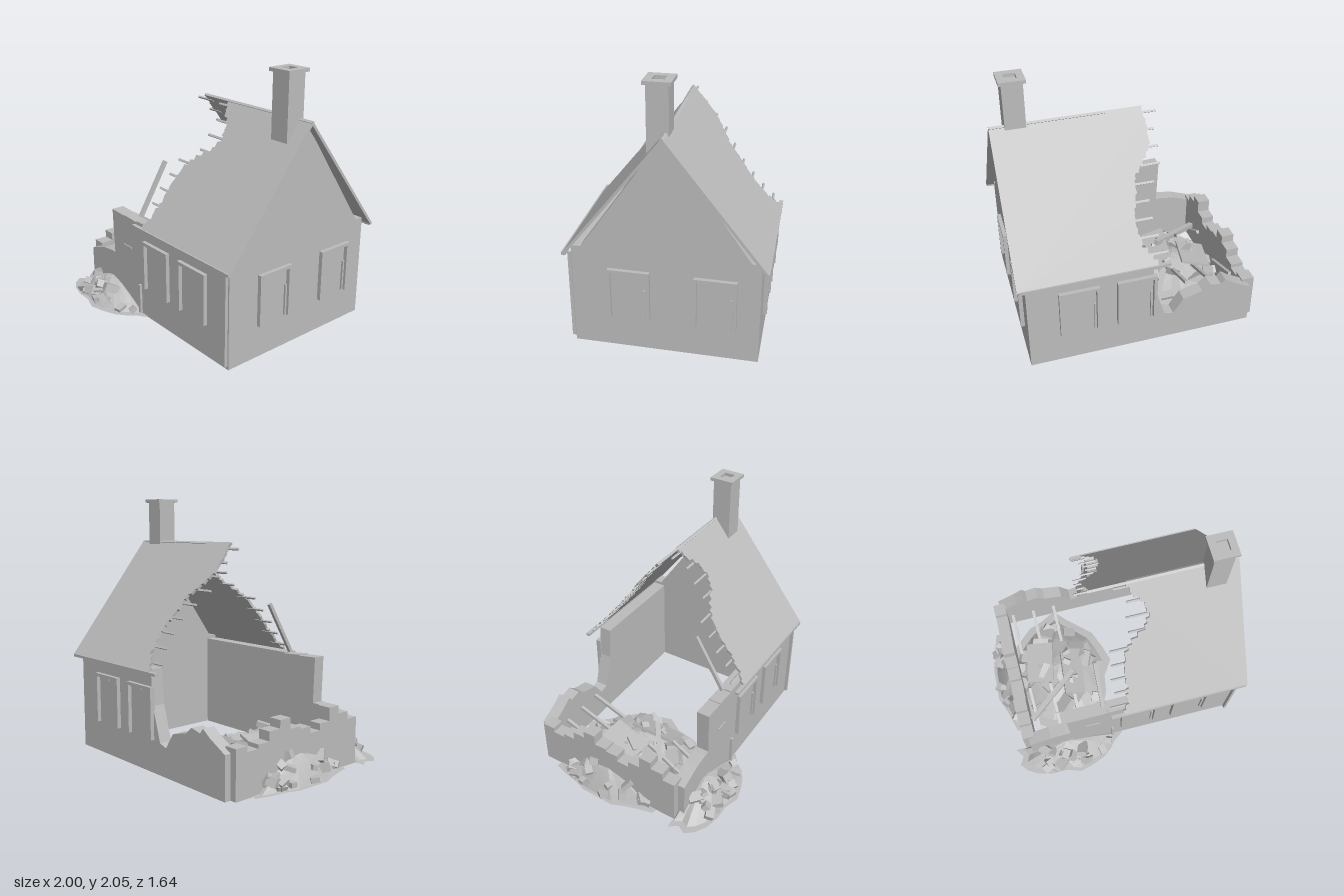
import * as THREE from 'three';

const stone = new THREE.MeshStandardMaterial({ color: 0xbcbcbc, side: THREE.DoubleSide, flatShading: true });
stone.name = 'grey plaster';

// Seeded random numbers
let seed = 11;
const rand = (a = 0, b = 1) => {
  seed = (seed * 16807) % 2147483647;
  return a + (b - a) * seed / 2147483647;
};

function add(parent, name, geometry) {
  const mesh = new THREE.Mesh(geometry, stone);
  mesh.name = name;
  parent.add(mesh);
  return mesh;
}

// Box given by its lower and upper corners
function block(parent, name, x0, x1, y0, y1, z0, z1) {
  const mesh = add(parent, name, new THREE.BoxGeometry(x1 - x0, y1 - y0, z1 - z0));
  mesh.position.set((x0 + x1) / 2, (y0 + y1) / 2, (z0 + z1) / 2);
  return mesh;
}

// Square timber between two points
function beam(parent, name, a, b, w) {
  const p = new THREE.Vector3(...a), q = new THREE.Vector3(...b);
  const mesh = add(parent, name, new THREE.BoxGeometry(w, w, p.distanceTo(q)));
  mesh.position.copy(p).add(q).multiplyScalar(0.5);
  mesh.lookAt(q);
  return mesh;
}

function slab(points, depth) {
  const shape = new THREE.Shape(points.map(p => new THREE.Vector2(...p)));
  return new THREE.ExtrudeGeometry(shape, { depth, bevelEnabled: false });
}

function lookup(table, t) {
  const i = Math.max(1, table.findIndex(p => p[0] >= t));
  const [a, b] = [table[i - 1], table[i]];
  return a[1] + (b[1] - a[1]) * (t - a[0]) / (b[0] - a[0]);
}

// Roof slope with a torn left edge and battens sticking out of it
function roofSlope(parent, name, side, edge, ends) {
  const run = 0.715, drop = 0.91, length = Math.hypot(run, drop), thick = 0.02;
  const points = [[0.99, 0]];
  const rows = 24;
  for (let i = 0; i <= rows; i++) {
    const x = lookup(edge, i / rows) + (i ? rand(-0.008, 0.008) : 0);
    points.push([x, length * i / rows]);
    if (i < rows) points.push([x + rand(-0.006, 0.012), length * (i + 0.85) / rows]);
  }
  points.push([0.99, length]);
  const down = new THREE.Vector3(0, -drop / length, side * run / length);
  const right = new THREE.Vector3(1, 0, 0);
  const normal = right.clone().cross(down);
  const slope = new THREE.Group();
  slope.name = name;
  slope.matrixAutoUpdate = true;
  slope.quaternion.setFromRotationMatrix(new THREE.Matrix4().makeBasis(right, down, normal));
  slope.position.set(0, 1.66, -0.105);
  parent.add(slope);
  const inner = side > 0 ? 0 : -thick;
  add(slope, 'tiles', slab(points, thick)).position.z = inner;
  ends.forEach((x, i) => {
    const t = 0.04 + i * 0.11, s = t * length, z = side * 0.019;
    block(slope, 'batten', x, lookup(edge, t) + 0.08, s - 0.008, s + 0.008, z - 0.006, z + 0.006);
  });
}

// Door-height frame standing out from a wall
function windowFrame(parent, x, z, angle) {
  const frame = new THREE.Group();
  frame.name = 'windowFrame';
  frame.position.set(x, 0, z);
  frame.rotation.y = angle;
  parent.add(frame);
  block(frame, 'leftJamb', -0.15, -0.13, 0.25, 0.64, -0.01, 0.03);
  block(frame, 'rightJamb', 0.125, 0.15, 0.25, 0.64, -0.01, 0.03);
  block(frame, 'head', -0.13, 0.125, 0.615, 0.64, -0.01, 0.03);
  block(frame, 'brokenSash', 0.105, 0.12, 0.25, 0.49, -0.01, 0.015);
  block(frame, 'brokenRail', -0.11, 0.01, 0.6, 0.613, -0.01, 0.015);
}

// Irregular heap of debris with a flat skirt, covered with broken blocks
function heap(parent, name, o) {
  const group = new THREE.Group();
  group.name = name;
  parent.add(group);
  const height = t => 0.005 + o.h * Math.max(0, 1 - Math.pow(t / 0.86, 1.5));
  const geo = new THREE.RingGeometry(0.001, 1, 22, 7).rotateX(-Math.PI / 2);
  const p = geo.attributes.position;
  for (let i = 0; i < p.count; i++) {
    const x = p.getX(i), z = p.getZ(i), t = Math.hypot(x, z), a = Math.atan2(z, x);
    const k = 1 + t * (0.06 * Math.sin(5 * a + o.x * 9) + 0.05 * Math.cos(9 * a));
    p.setXYZ(i, Math.min(o.maxX ?? 9, o.x + x * o.rx * k), height(t) * (1 + 0.08 * Math.sin(7 * a) * t),
      Math.max(o.minZ ?? -9, o.z + z * o.rz * k));
  }
  geo.computeVertexNormals();
  add(group, 'mound', geo);
  for (let i = 0; i < o.n; i++) {
    const t = Math.sqrt(rand(0.02, 0.72));
    const a = rand(...(o.arc ?? [0, Math.PI * 2]));
    const s = rand(0.05, 0.095) * (o.size ?? 1);
    const rock = add(group, 'brokenBlock', new THREE.BoxGeometry(s * rand(0.8, 1.6), s * rand(0.4, 0.9), s));
    rock.position.set(o.x + Math.cos(a) * t * o.rx, height(t) + 0.022, o.z + Math.sin(a) * t * o.rz);
    rock.rotation.set(rand(-0.7, 0.7), rand(0, 3), rand(-0.7, 0.7));
  }
}

export function createModel() {
  const model = new THREE.Group();
  model.name = 'ruinedHouse';

  // Long walls with broken tops
  add(model, 'frontWall', slab([[-0.8, 0], [0.93, 0], [0.93, 0.765], [-0.14, 0.765], [-0.14, 0.755], [-0.3, 0.765],
    [-0.3, 0.758], [-0.47, 0.765], [-0.455, 0.4], [-0.5, 0.4], [-0.62, 0.385], [-0.8, 0.32]], 0.1)).position.z = 0.46;
  add(model, 'backWall', slab([[-0.8, 0], [0.93, 0], [0.93, 0.765], [0, 0.765], [-0.02, 0.5], [-0.1, 0.24], [-0.17, 0.22],
    [-0.25, 0.34], [-0.4, 0.38], [-0.46, 0.43], [-0.55, 0.41], [-0.58, 0.45], [-0.65, 0.4], [-0.8, 0.32]], 0.1)).position.z = -0.77;

  // Stepped remains of the left end wall
  [0.36, 0.32, 0.35, 0.42, 0.48, 0.4, 0.38, 0.33, 0.38, 0.48, 0.42, 0.36].forEach((h, i) => {
    const z = -0.72 + i * 0.102;
    block(model, 'endWallStep', -0.85, -0.75, 0, h, z, z + 0.102);
  });

  // Gable wall
  const gable = slab([[-0.56, 0], [0.77, 0], [0.77, 0.79], [0.7, 0.79], [0.105, 1.645], [-0.49, 0.79], [-0.56, 0.79]], 0.1);
  add(model, 'gableWall', gable.rotateY(Math.PI / 2)).position.x = 0.83;

  // Roof
  roofSlope(model, 'frontRoof', 1,
    [[0, 0.16], [0.1, 0.2], [0.14, 0.26], [0.25, 0.29], [0.35, 0.23], [0.42, 0.12], [0.5, 0.07], [0.63, 0.04], [0.77, 0.04], [0.92, 0.01], [1, -0.06]],
    [0.06, 0.14, 0.12, 0.12, -0.04, -0.05, -0.07, -0.06, -0.11]);
  roofSlope(model, 'backRoof', -1,
    [[0, -0.12], [0.23, -0.13], [0.3, -0.08], [0.42, 0.02], [0.56, 0.06], [0.7, 0.09], [0.84, 0.05], [0.94, -0.02], [1, -0.06]],
    [-0.22, -0.18, -0.19, -0.18, -0.11, -0.05, -0.05, -0.07, -0.12]);
  block(model, 'frontGutter', -0.12, 0.98, 0.735, 0.757, 0.585, 0.615);
  block(model, 'backGutter', -0.12, 0.98, 0.735, 0.757, -0.825, -0.795);

  // Chimney with a hollow cap
  block(model, 'chimney', 0.73, 0.88, 1.5, 1.97, -0.13, 0.02);
  const cap = new THREE.Shape([[-0.095, -0.095], [0.095, -0.095], [0.095, 0.095], [-0.095, 0.095]].map(p => new THREE.Vector2(...p)));
  cap.holes.push(new THREE.Path([[-0.042, -0.042], [-0.042, 0.042], [0.042, 0.042], [0.042, -0.042]].map(p => new THREE.Vector2(...p))));
  const capGeo = new THREE.ExtrudeGeometry(cap, { depth: 0.025, bevelEnabled: false }).rotateX(-Math.PI / 2);
  add(model, 'chimneyCap', capGeo).position.set(0.805, 1.97, -0.055);

  // Windows on three sides
  for (const x of [0.12, 0.55]) {
    windowFrame(model, x, 0.56, 0);
    windowFrame(model, x, -0.77, Math.PI);
  }
  for (const z of [0.15, -0.46]) windowFrame(model, 0.93, z, Math.PI / 2);

  // Downpipes and a small ledge
  block(model, 'downpipe', 0.905, 0.925, 0.03, 0.73, 0.565, 0.59);
  block(model, 'brokenDownpipe', -0.11, -0.09, 0.01, 0.25, 0.56, 0.58);
  block(model, 'ledge', -0.32, -0.21, 0.505, 0.522, 0.55, 0.568);

  // Fallen timbers
  beam(model, 'leaningTimber', [-0.165, 0.775, 0.5], [-0.165, 1.175, 0.26], 0.028);
  for (const x of [-0.7, -0.52, -0.34]) {
    beam(model, 'fallenRafter', [x, 0.34, -0.6], [x, 0.22, -0.27], 0.025);
    beam(model, 'fallenRafter', [x, 0.27, 0.06], [x, 0.08, 0.38], 0.025);
  }
  beam(model, 'fallenTimber', [-0.74, 0.16, 0.31], [-0.3, 0.29, 0], 0.04);
  const board = block(model, 'fallenBoard', -0.68, -0.45, 0.22, 0.24, -0.32, 0.02);
  board.rotation.set(0.15, -0.2, 0.25);
  const board2 = block(model, 'fallenBoard', -0.4, -0.22, 0.22, 0.24, -0.22, 0.2);
  board2.rotation.set(-0.1, -0.1, -0.35);

  // Debris heaps
  heap(model, 'innerRubble', { x: -0.41, z: -0.1, rx: 0.43, rz: 0.53, h: 0.23, n: 34, size: 1.2 });
  heap(model, 'outerRubble', { x: -0.82, z: -0.12, rx: 0.17, rz: 0.47, h: 0.22, n: 16, maxX: -0.78, arc: [1.7, 4.6], size: 0.9 });
  heap(model, 'frontRubble', { x: -0.5, z: 0.57, rx: 0.44, rz: 0.23, h: 0.18, n: 20, minZ: 0.5, arc: [0.15, 3], size: 0.9 });
  return model;
}
